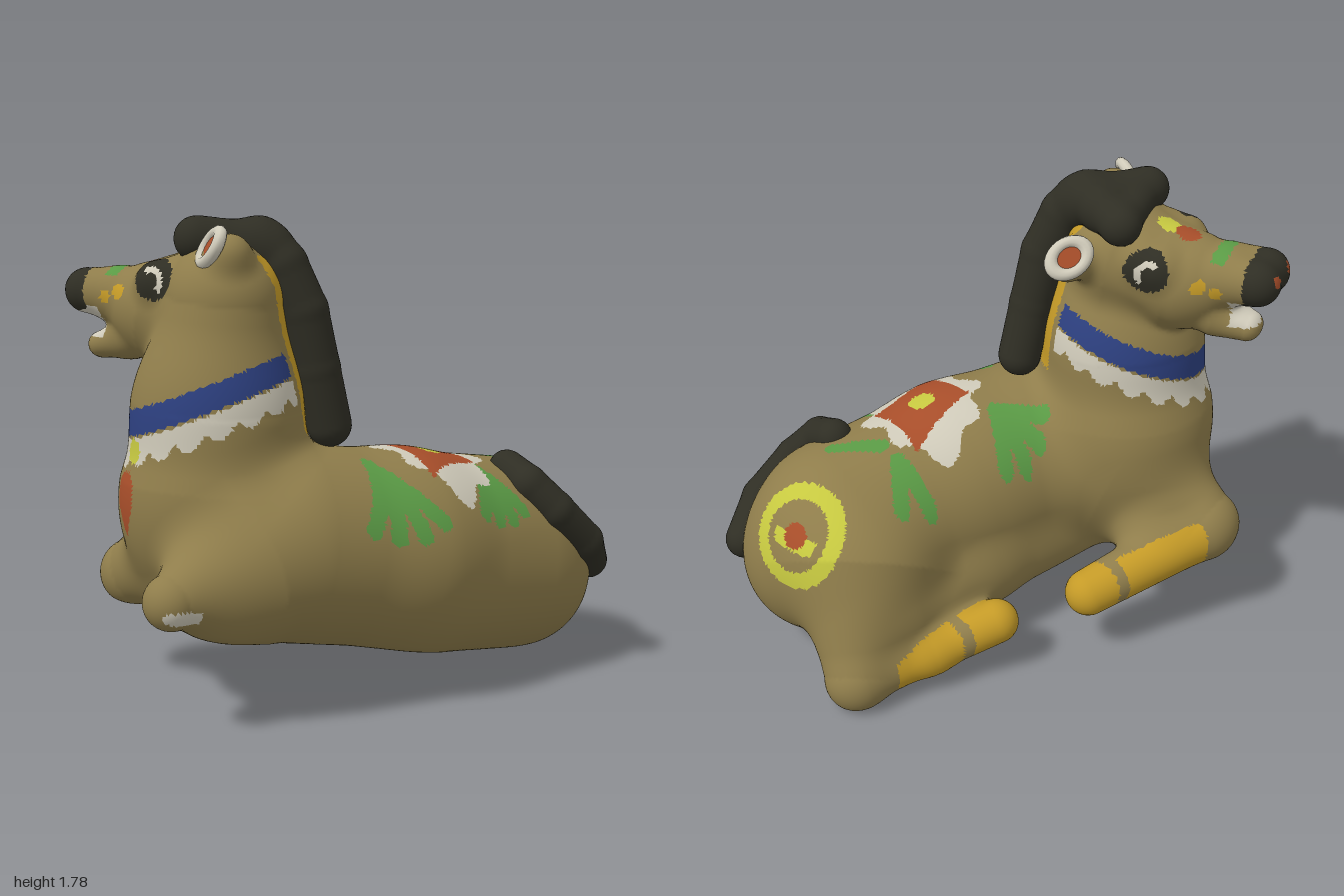
import * as THREE from 'three';

const mat = (name, color) => {
  const m = new THREE.MeshStandardMaterial({ color });
  m.name = name;
  return m;
};
const coat = mat('coat', 0x8f7d4b), dark = mat('charcoal', 0x2f2e24), white = mat('white', 0xd0cbba);
const blue = mat('blue', 0x2d4080), green = mat('green', 0x5a9a45), ochre = mat('ochre', 0xc49a27);
const lime = mat('lime', 0xc6c840), red = mat('red', 0xa84e2a);

// Head frame: u runs to the nose, v to the model's left cheek; the head is turned and rolled a little
const H = (u, y, v = 0) => [-0.08 - 0.935 * u + 0.355 * v, y + 0.12 * v, 0.38 + 0.355 * u + 0.935 * v];
const toHead = (x, y, z) => {
  const dx = x + 0.08, dz = z - 0.38, v = 0.355 * dx + 0.935 * dz;
  return [-0.935 * dx + 0.355 * dz, y - 0.12 * v, v];
};

// A limb is a chain of [point, radius] joints, blended into the rest over distance k
const limb = (k, ...joints) => joints.slice(1).map((j, i) => ({
  k, a: joints[i][0], ra: joints[i][1], b: j[0], rb: j[1],
}));
function blend(...limbs) {
  const strokes = limbs.flat();
  return (x, y, z) => {
    let d = 9;
    for (const { k, a, ra, b, rb } of strokes) {
      const bx = b[0] - a[0], by = b[1] - a[1], bz = b[2] - a[2];
      const px = x - a[0], py = y - a[1], pz = z - a[2];
      const t = Math.min(1, Math.max(0, (px * bx + py * by + pz * bz) / (bx * bx + by * by + bz * bz)));
      const e = Math.hypot(px - t * bx, py - t * by, pz - t * bz) - ra - t * (rb - ra);
      const m = Math.max(0, k - Math.abs(d - e));
      d = Math.min(d, e) - m * m / (4 * k);
    }
    return d;
  };
}

// Wraps a smooth skin of grid quads round a field and splits it into painted parts
function skin(group, field, lo, hi, h, paints) {
  const n = lo.map((l, i) => Math.ceil((hi[i] - l) / h) + 1), step = [1, n[0], n[0] * n[1]];
  const total = step[2] * n[2], val = new Float32Array(total), cell = new Int32Array(total).fill(-1);
  const each = (from, fn) => {
    for (let k = from; k < n[2] - 1; k++) for (let j = from; j < n[1] - 1; j++)
      for (let i = from; i < n[0] - 1; i++) fn(i, j, k, i + j * step[1] + k * step[2]);
  };
  for (let q = 0; q < total; q++) {
    const i = q % n[0], j = Math.floor(q / n[0]) % n[1], k = Math.floor(q / step[2]);
    val[q] = field(lo[0] + i * h, lo[1] + j * h, lo[2] + k * h);
  }
  const pos = [], nor = [], e = 0.004;
  each(0, (i, j, k, q) => {
    const s = [0, 0, 0];
    let hits = 0;
    for (let c = 0; c < 8; c++) for (let a = 0; a < 3; a++) {
      if (c >> a & 1) continue;
      const o = [c & 1, c >> 1 & 1, c >> 2];
      const p = q + o[0] + o[1] * step[1] + o[2] * step[2], f = val[p], g = val[p + step[a]];
      if ((f < 0) === (g < 0)) continue;
      o[a] += f / (f - g);
      for (let b = 0; b < 3; b++) s[b] += o[b];
      hits++;
    }
    if (!hits) return;
    cell[q] = pos.length / 3;
    const p = [i, j, k].map((c, b) => lo[b] + h * (c + s[b] / hits));
    const g = p.map((_, b) => {
      const r = [...p], l = [...p];
      r[b] += e; l[b] -= e;
      return (field(...r) - field(...l)) / (2 * e);
    });
    const len = Math.hypot(...g) || 1, f = field(...p);
    pos.push(...p.map((c, b) => c - f * g[b] / Math.max(0.3, len * len)));
    nor.push(...g.map((c) => c / len));
  });
  const faces = paints.map(() => []);
  const tri = (a, b, c) => {
    const m = [0, 1, 2].map((i) => (pos[a * 3 + i] + pos[b * 3 + i] + pos[c * 3 + i]) / 3);
    faces[paints.findIndex((p) => p[2](...m))].push(a, b, c);
  };
  each(1, (i, j, k, q) => {
    for (let a = 0; a < 3; a++) {
      const inside = val[q] < 0;
      if (inside === (val[q + step[a]] < 0)) continue;
      const b = step[(a + 1) % 3], c = step[(a + 2) % 3];
      const r = [cell[q - b - c], cell[q - c], cell[q], cell[q - b]];
      if (!inside) r.reverse();
      tri(r[0], r[1], r[2]);
      tri(r[0], r[2], r[3]);
    }
  });
  paints.forEach(([name, material], i) => {
    if (!faces[i].length) return;
    const g = new THREE.BufferGeometry();
    g.setAttribute('position', new THREE.Float32BufferAttribute(pos, 3));
    g.setAttribute('normal', new THREE.Float32BufferAttribute(nor, 3));
    g.setIndex(faces[i]);
    const mesh = new THREE.Mesh(g.toNonIndexed(), material);
    mesh.name = name;
    group.add(mesh);
  });
}

// Flat brush marks: a round dot and a fan of leaf strokes
const dot = (x, y, cx, cy, r) => Math.hypot(x - cx, y - cy) < r;
const leaves = (x, y, cx, cy, count, from, spread, length) => {
  for (let i = 0; i < count; i++) {
    const a = from + spread * i, c = Math.cos(a), s = Math.sin(a);
    const t = Math.min(length, Math.max(0, (x - cx) * c + (y - cy) * s));
    if (dot(x, y, cx + t * c, cy + t * s, 0.03)) return true;
  }
  return false;
};

const ears = [
  { name: 'leftEar', c: [0.025, 1.69, 0.6], base: [-0.03, 1.58, 0.47], n: [-0.38, 0.42, 0.82] },
  { name: 'rightEar', c: [-0.17, 1.575, 0.095], base: [-0.1, 1.52, 0.27], n: [-0.65, 0.5, -0.5] },
];

function bodyField() {
  const trunk = limb(0.07, [[0.32, 0.47, -0.6], 0.37], [[0.25, 0.54, -0.1], 0.38], [[0.12, 0.61, 0.32], 0.37]);
  const flank = limb(0.1, [[0.39, 0.36, -0.69], 0.28], [[0.33, 0.4, -0.2], 0.26]);
  const belly = limb(0.08, [[-0.02, 0.36, 0.4], 0.2], [[0.04, 0.31, -0.2], 0.19], [[0.02, 0.26, -0.6], 0.18]);
  const brisket = limb(0.1, [[-0.38, 0.4, 0.36], 0.15], [[-0.1, 0.42, 0.5], 0.18], [[0.12, 0.46, 0.62], 0.17]);
  const chest = limb(0.07, [[0, 0.62, 0.36], 0.34], [[-0.12, 0.7, 0.46], 0.345]);
  const neck = limb(0.1, [[-0.1, 0.85, 0.48], 0.335], [[-0.09, 1.12, 0.475], 0.29], [[-0.05, 1.5, 0.47], 0.21]);
  // folded legs
  const rightShoulder = limb(0.1, [[-0.22, 0.57, 0.45], 0.24], [[-0.53, 0.43, 0.53], 0.13]);
  const rightForeleg = limb(0.06, [[-0.54, 0.41, 0.48], 0.11], [[-0.41, 0.28, 0], 0.09]);
  const leftShoulder = limb(0.12, [[0.14, 0.57, 0.6], 0.24], [[0.13, 0.51, 0.89], 0.1]);
  const haunch = limb(0.1, [[0.13, 0.42, -0.67], 0.29], [[-0.06, 0.11, -0.86], 0.11]);
  const hindLeg = limb(0.06, [[-0.06, 0.12, -0.84], 0.11], [[-0.15, 0.15, -0.58], 0.085], [[-0.26, 0.23, -0.34], 0.085]);
  // head
  const skull = limb(0.06, [H(0.08, 1.5), 0.205], [H(0.32, 1.45), 0.17], [H(0.48, 1.49), 0.11]);
  const jaw = limb(0.04, [H(0.3, 1.405), 0.145], [H(0.45, 1.345), 0.08]);
  const sides = [-1, 1].flatMap((s) => [
    limb(0.03, [H(0.48, 1.5, s * 0.03), 0.1], [H(0.605, 1.51, s * 0.045), 0.085]), // nostrils
    limb(0.03, [H(0.45, 1.335, s * 0.03), 0.07], [H(0.57, 1.31, s * 0.02), 0.048]), // lower lip
    limb(0.04, [H(0.2, 1.55, s * 0.12), 0.08], [H(0.26, 1.54, s * 0.125), 0.08]), // eye bulge
  ]);
  const earBacks = ears.map(({ c, base, n }) => limb(0.05, [base, 0.085], [c.map((v, i) => v - 0.075 * n[i]), 0.078]));
  const body = blend(trunk, flank, belly, brisket, chest, neck, rightShoulder, rightForeleg, leftShoulder, haunch,
    hindLeg, skull, jaw, ...sides, ...earBacks);
  // the underside is trimmed by a sloping plane
  return (x, y, z) => {
    const d = body(x, y, z), p = 0.185 + 0.2 * z - y, m = Math.max(0, 0.04 - Math.abs(d - p));
    return Math.max(d, p) + m * m / 0.16;
  };
}

function maneField() {
  const poll = [[-0.01, 1.69, 0.34], 0.09], side = [[-0.25, 1.675, 0.27], 0.065], tip = [[-0.13, 1.715, 0.53], 0.062];
  return blend(
    limb(0.008, poll, [[0.075, 1.62, 0.3], 0.088], [[0.13, 1.46, 0.25], 0.086],
      [[0.15, 1.25, 0.205], 0.083], [[0.16, 1.04, 0.155], 0.083]),
    limb(0.04, poll, side), limb(0.04, poll, tip), limb(0.04, side, tip), // forelock
    limb(0.04, [[-0.12, 1.7, 0.3], 0.08], tip), limb(0.04, [[0.04, 1.68, 0.32], 0.07], tip));
}

function headPaints() {
  const face = (minU, fn) => (x, y, z) => {
    const [u, w, v] = toHead(x, y, z);
    return y > 1.25 && u > minU && fn(u, w, Math.abs(v));
  };
  return [
    ['eyeGlints', white, face(0.1, (u, y, v) => v > 0.1 && dot(u, y, 0.25, 1.54, 0.056) &&
      !dot(u, y, 0.25, 1.54, 0.032) && y - 1.53 > (u - 0.235) * 1.2)],
    ['eyes', dark, face(0.1, (u, y, v) => v > 0.1 && dot(u, y * 1.1, 0.235, 1.705, 0.085))],
    ['nostrils', red, face(0.655, (u, y, v) => dot(y, v, 1.535, 0.06, 0.022))],
    ['nose', dark, face(0.575, (u, y) => y > 1.435)],
    ['mouth', white, face(0.52, (u, y) => y > 1.335 && y < 1.45)],
    ['noseStripe', green, face(0.443, (u, y, v) => u < 0.497 && y > 1.535 && v < 0.1)],
    ['cheekDots', ochre, face(0.3, (u, y, v) => v > 0.05 &&
      (dot(u, y, 0.48, 1.485, 0.024) || dot(u, y, 0.42, 1.505, 0.027)))],
    ['browDot', red, (x, y, z) => y > 1.55 && dot(x, z, -0.39, 0.48, 0.046)],
    ['browLeaf', lime, (x, y, z) => y > 1.55 && dot(x, z, -0.32, 0.45, 0.042)],
  ];
}

function neckPaints(mane) {
  // height above the tilted collar line, open behind at the mane
  const collar = (x, y, z) => y < 0.85 || y > 1.45 || mane(x, y, z) < 0.09 ? 9 : y - (1.325 + 0.276 * x - 0.25 * z);
  return [
    ['maneEdging', ochre, (x, y, z) => y > 1.02 && y < 1.66 && x > -0.08 && z < 0.48 && mane(x, y, z) < 0.058],
    ['collarPendant', lime, (x, y, z) => z > 0.6 && dot(x, y, -0.19, 0.975, 0.045)],
    ['collar', blue, (x, y, z) => Math.abs(collar(x, y, z)) < 0.047],
    ['collarScallops', white, (x, y, z) => {
      const s = collar(x, y, z), a = Math.atan2(x + 0.09, z - 0.47);
      return s < -0.056 && s > -0.115 - 0.04 * Math.abs(Math.sin(a * 9));
    }],
    ['chestDrop', red, (x, y, z) => z > 0.5 && y > 0.67 && y < 0.9 &&
      Math.abs(x + 0.22) < 0.06 * Math.min(1, (y - 0.66) / 0.12, (0.93 - y) / 0.07)],
  ];
}

function bodyPaints() {
  const onBack = (fn) => (x, y, z) => y > 0.6 && y < 1 && fn(x - 0.3, z + 0.23);
  // distance from the axis of the rosette on the rump
  const axis = new THREE.Vector3(-0.25, 0.47, -0.84), p = new THREE.Vector3();
  const rosette = (x, y, z) => {
    const t = p.set(x - 0.21, y - 0.625, z + 0.87).dot(axis);
    return Math.abs(t) > 0.25 ? 9 : p.addScaledVector(axis, -t).length();
  };
  return [
    ['flowerCentre', lime, onBack((x, z) => Math.hypot(x, z) < 0.05)],
    ['flowerStar', red, onBack((x, z) =>
      (Math.abs(0.82 * x + 0.57 * z) / 0.26) ** 0.85 + (Math.abs(0.68 * x - 0.73 * z) / 0.19) ** 0.85 < 1)],
    ['flowerPetals', white, onBack((x, z) => {
      const a = Math.atan2(z, x) - 0.32;
      return Math.hypot(x, z) < 0.235 + 0.03 * Math.cos(2 * a) + 0.015 * Math.cos(4 * a) + 0.025 * Math.cos(8 * a);
    })],
    ['rosetteCentre', red, (x, y, z) => rosette(x, y, z) < 0.05],
    ['rosetteRing', lime, (x, y, z) => {
      const r = rosette(x, y, z);
      return (r > 0.135 && r < 0.195) || (r < 0.1 && Math.abs(y - 0.625) < 0.025);
    }],
    ['sideLeaves', green, (x, y, z) => x > 0.2 && y > 0.55 &&
      (leaves(z, y, 0.14, 0.9, 4, -2.2, 0.42, 0.23) || leaves(z, y, -0.34, 0.85, 4, -2.1, 0.42, 0.18))],
    ['backLeaves', green, (x, y, z) => y > 0.55 && y < 1 && (leaves(x, z, 0.07, -0.05, 4, 2.3, 0.45, 0.18) ||
      leaves(x, z, 0.13, -0.48, 2, 3.05, 0.7, 0.16) || leaves(x, z, 0.22, -0.49, 1, -0.83, 0, 0.18))],
    ['frontLegPaint', ochre, (x, y, z) => y > 0.2 && y < 0.5 &&
      ((z > -0.2 && z < 0.06 && x < -0.33) || (z > 0.1 && z < 0.42 && x < -0.4 - 0.45 * z))],
    ['hindLegPaint', ochre, (x, y, z) => y < 0.34 && x < -0.18 && x > -0.4 && z > -0.76 && z < -0.2 &&
      Math.abs(z + 0.49) > 0.02],
    ['kneeSpot', white, (x, y, z) => z > 0.85 && dot(x, y * 1.5, 0.215, 0.705, 0.04)],
    ['bellySpot', white, (x, y, z) => y < 0.35 && dot(x, z, 0.08, 0.27, 0.05)],
    ['coat', coat, () => true],
  ];
}

export function createModel() {
  const group = new THREE.Group(), mane = maneField();
  const tail = blend(limb(0.008, [[0.44, 0.82, -0.55], 0.07], [[0.55, 0.77, -0.54], 0.075],
    [[0.63, 0.67, -0.61], 0.075], [[0.665, 0.53, -0.76], 0.075], [[0.6, 0.42, -0.89], 0.075]));
  const paints = [...headPaints(), ...neckPaints(mane), ...bodyPaints()];
  skin(group, bodyField(), [-0.82, -0.06, -1.08], [0.82, 1.85, 1.08], 0.015, paints);
  skin(group, mane, [-0.4, 0.9, 0.02], [0.32, 1.85, 0.66], 0.018, [['mane', dark, () => true]]);
  skin(group, tail, [0.3, 0.3, -1.02], [0.8, 0.95, -0.4], 0.018, [['tail', dark, () => true]]);

  // ear openings: white rim round a red hollow
  for (const { name, c, n } of ears) {
    const ear = new THREE.Group();
    ear.name = name;
    const rim = new THREE.Mesh(new THREE.TorusGeometry(0.056, 0.022, 10, 28), white);
    rim.name = 'earRim';
    const hollow = new THREE.Mesh(new THREE.CircleGeometry(0.054, 24), red);
    hollow.name = 'earHollow';
    hollow.position.z = 0.008;
    ear.add(rim, hollow);
    ear.position.set(...c);
    ear.lookAt(c[0] + n[0], c[1] + n[1], c[2] + n[2]);
    ear.rotateZ(0.6);
    ear.scale.set(1.25, 0.95, 1);
    group.add(ear);
  }
  return group;
}
